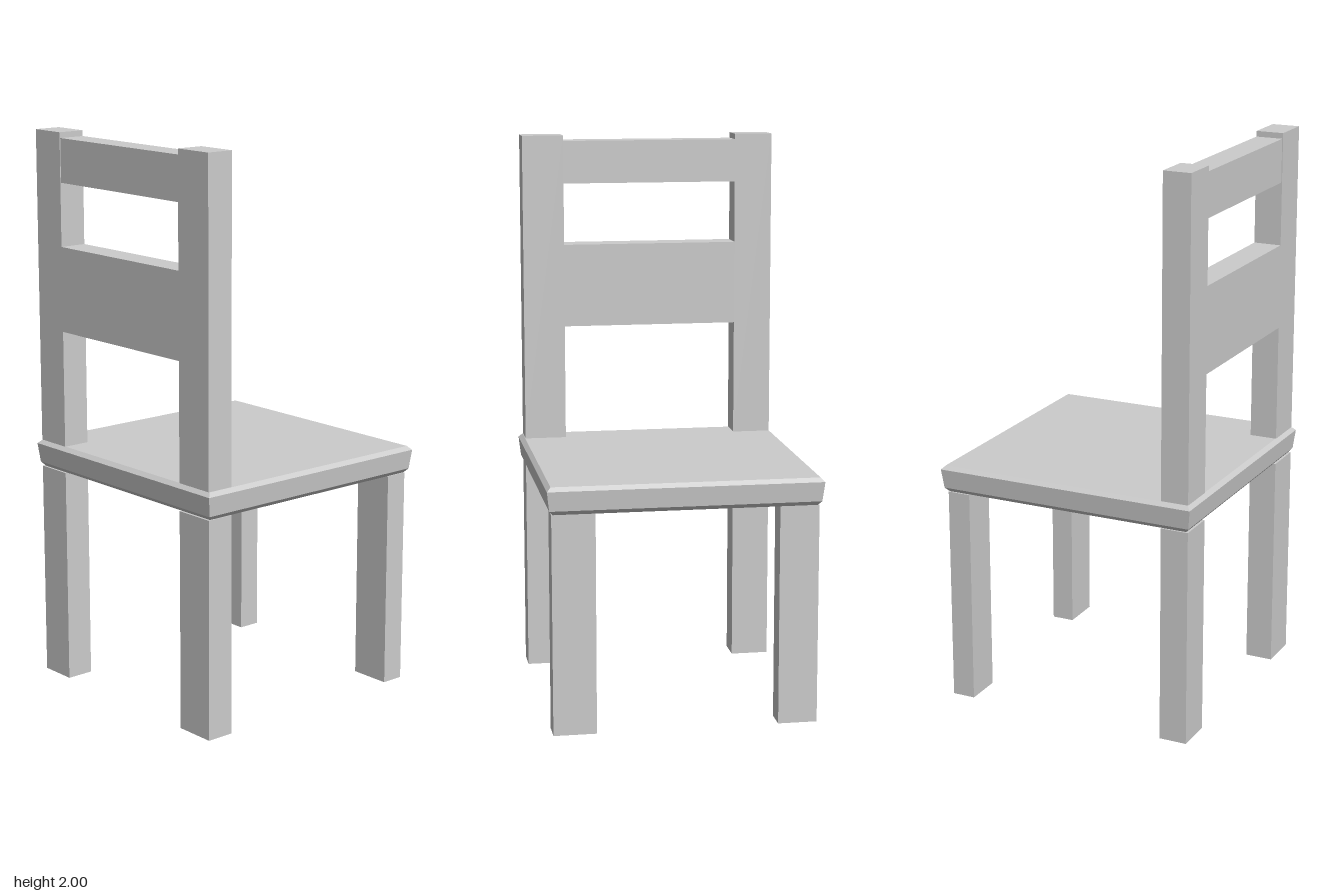
import * as THREE from 'three';

const material = new THREE.MeshStandardMaterial({ color: 0xcccccc, flatShading: true });

// Box given by its extents along each axis
function box(name, [x0, x1], [y0, y1], [z0, z1]) {
  const mesh = new THREE.Mesh(new THREE.BoxGeometry(x1 - x0, y1 - y0, z1 - z0), material);
  mesh.position.set((x0 + x1) / 2, (y0 + y1) / 2, (z0 + z1) / 2);
  mesh.name = name;
  return mesh;
}

// Square slab with bevelled top and bottom edges, from [half width, height] rings
function slab(name, rings) {
  const points = rings.map(([half, y]) => new THREE.Vector2(half * Math.SQRT2, y));
  const geometry = new THREE.LatheGeometry(points, 4, Math.PI / 4).toNonIndexed();
  geometry.computeVertexNormals();
  const mesh = new THREE.Mesh(geometry, material);
  mesh.name = name;
  return mesh;
}

export function createModel() {
  const chair = new THREE.Group();
  chair.name = 'chair';

  const sides = { right: [-0.465, -0.327], left: [0.312, 0.463] };
  const backZ = [0.365, 0.465];
  const frontZ = [-0.46, -0.377];
  const seatBottom = 0.78, seatTop = 0.878;

  // Legs and back posts on both sides
  for (const [side, x] of Object.entries(sides)) {
    chair.add(
      box(`${side}BackrestLeg`, x, [0, seatBottom], backZ),
      box(`${side}FreeLeg`, x, [0, seatBottom], frontZ),
      box(`${side}BackPost`, x, [seatTop, 2], backZ),
    );
  }

  // Seat with slightly tapered, bevelled sides
  const seat = slab('seat', [
    [0, seatBottom], [0.458, seatBottom], [0.471, 0.795],
    [0.479, 0.864], [0.465, seatTop], [0, seatTop],
  ]);
  seat.position.z = -0.002;
  chair.add(seat);

  // Backrest rails between the posts
  const span = [sides.right[1], sides.left[0]];
  chair.add(
    box('middleRail', span, [1.297, 1.6], backZ),
    box('topRail', span, [1.825, 1.98], [0.365, 0.462]),
  );

  return chair;
}
